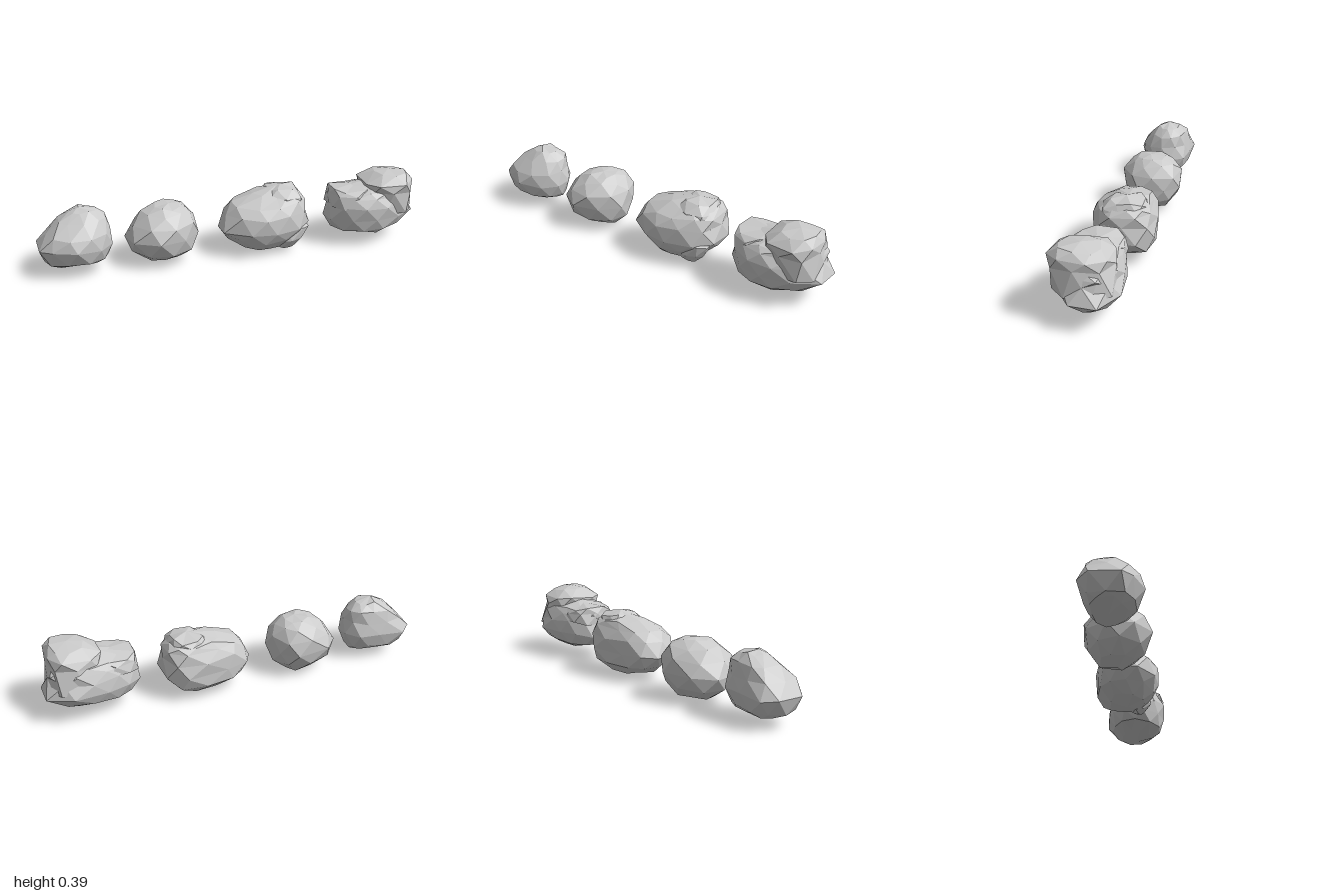
import * as THREE from 'three';

const material = new THREE.MeshStandardMaterial({ color: 0xcccccc, flatShading: true });

// Small seeded generator, -1..1
function seeded(seed) {
  let s = seed;
  return () => ((s = (s * 16807) % 2147483647) / 2147483647) * 2 - 1;
}

// Scale a plan outline to 0..1 in both directions
function normalise(pts) {
  const range = k => [Math.min(...pts.map(p => p[k])), Math.max(...pts.map(p => p[k]))];
  const [a, b] = range(0), [c, d] = range(1);
  return pts.map(p => [(p[0] - a) / (b - a), (p[1] - c) / (d - c)]);
}

// Faceted stone: plan outline fitted to layers [y, x0, x1, z0, z1], every second ring
// turned by half a step so the facets interlock
function stone(name, outline, layers, bottom, top, seed) {
  const n = outline.length, rand = seeded(seed), pos = [];
  const even = normalise(outline);
  const odd = normalise(outline.map((p, i) => {
    const q = outline[(i + 1) % n];
    return [(p[0] + q[0]) / 2, (p[1] + q[1]) / 2];
  }));
  const rings = layers.map(([y, x0, x1, z0, z1], j) => (j % 2 ? odd : even).map(([u, v]) => {
    const k = 1 + 0.015 * rand();
    return [
      (x0 + x1) / 2 + (u - 0.5) * (x1 - x0) * k,
      y + 0.009 * rand(),
      (z0 + z1) / 2 + (v - 0.5) * (z1 - z0) * k,
    ];
  }));
  const tri = (a, b, c) => pos.push(...a, ...b, ...c);
  const last = rings[rings.length - 1];
  for (let i = 0; i < n; i++) {
    const k = (i + 1) % n;
    for (let j = 0; j < rings.length - 1; j++) {
      const lo = rings[j], up = rings[j + 1];
      if (j % 2 === 0) {
        tri(lo[i], up[i], lo[k]);
        tri(lo[k], up[i], up[k]);
      } else {
        tri(lo[i], up[i], up[k]);
        tri(lo[i], up[k], lo[k]);
      }
    }
    tri(bottom, rings[0][i], rings[0][k]);
    tri(top, last[k], last[i]);
  }
  const geometry = new THREE.BufferGeometry();
  geometry.setAttribute('position', new THREE.Float32BufferAttribute(pos, 3));
  geometry.computeVertexNormals();
  const mesh = new THREE.Mesh(geometry, material);
  mesh.name = name;
  return mesh;
}

function rock(name, ...parts) {
  const g = new THREE.Group();
  g.name = name;
  g.add(...parts);
  return g;
}

export function createModel() {
  const model = new THREE.Group();
  model.name = 'rocks';
  const slab = [[0, 0.2], [0.25, 0], [0.8, 0], [1, 0.3], [1, 0.75], [0.75, 1], [0.2, 0.95], [0, 0.7]];

  // Small pointed rock
  model.add(rock('pointedRock', stone('pointedBody',
    [[-1, -0.06], [-0.94, -0.115], [-0.8, -0.115], [-0.69, -0.1], [-0.635, -0.03],
      [-0.635, 0.05], [-0.7, 0.12], [-0.82, 0.165], [-0.94, 0.125], [-1, 0.08]],
    [[0.06, -0.94, -0.67, -0.07, 0.09], [0.08, -0.97, -0.65, -0.1, 0.125],
      [0.15, -1, -0.635, -0.12, 0.165], [0.22, -0.955, -0.64, -0.11, 0.145],
      [0.28, -0.89, -0.66, -0.095, 0.1], [0.322, -0.83, -0.7, -0.06, 0.05]],
    [-0.79, 0.05, 0], [-0.79, 0.338, 0], 11)));

  // Small round rock
  model.add(rock('roundRock', stone('roundBody',
    [[-0.56, -0.04], [-0.475, -0.14], [-0.3, -0.17], [-0.225, -0.1],
      [-0.195, 0.03], [-0.28, 0.12], [-0.41, 0.165], [-0.53, 0.09]],
    [[0.03, -0.46, -0.26, -0.09, 0.08], [0.08, -0.535, -0.21, -0.14, 0.13],
      [0.15, -0.565, -0.193, -0.17, 0.17], [0.22, -0.525, -0.2, -0.165, 0.15],
      [0.275, -0.475, -0.235, -0.13, 0.11], [0.3, -0.41, -0.28, -0.08, 0.07]],
    [-0.355, 0, 0], [-0.34, 0.31, 0], 23)));

  // Long rock, highest towards the back, with a low step on top and a spur at the front
  model.add(rock('longRock',
    stone('longBody',
      [[-0.075, -0.03], [-0.03, -0.11], [0.085, -0.15], [0.305, -0.18], [0.4, -0.11],
        [0.405, 0.04], [0.325, 0.12], [0.19, 0.165], [0.06, 0.155], [-0.065, 0.07]],
      [[0.035, 0.05, 0.29, -0.1, 0.09], [0.085, -0.03, 0.375, -0.165, 0.14],
        [0.145, -0.075, 0.405, -0.18, 0.165], [0.22, -0.045, 0.4, -0.175, 0.165],
        [0.27, 0, 0.385, -0.16, 0.13], [0.305, 0.11, 0.365, -0.14, 0.07]],
      [0.17, 0.012, 0], [0.26, 0.343, -0.04], 37),
    stone('longTopSlab', slab,
      [[0.22, 0.16, 0.38, -0.15, 0.09], [0.29, 0.16, 0.375, -0.14, 0.09],
        [0.325, 0.2, 0.345, -0.12, 0.04]],
      [0.28, 0.2, 0], [0.265, 0.345, -0.03], 41),
    stone('longSpur', slab,
      [[0.03, 0.22, 0.31, 0.02, 0.08], [0.08, 0.22, 0.36, 0.0, 0.115],
        [0.14, 0.24, 0.39, -0.02, 0.11]],
      [0.265, 0.01, 0.05], [0.32, 0.17, 0.05], 43)));

  // Split rock with a tall slab, a lower slab and a narrow crack between them
  model.add(rock('splitRock',
    stone('splitBody',
      [[0.515, -0.05], [0.59, -0.12], [0.7, -0.155], [0.87, -0.175], [0.995, -0.1],
        [0.995, 0.03], [0.88, 0.12], [0.74, 0.165], [0.62, 0.135], [0.52, 0.055]],
      [[0.065, 0.66, 0.9, -0.09, 0.09], [0.095, 0.54, 0.95, -0.14, 0.14],
        [0.15, 0.515, 1, -0.175, 0.165], [0.22, 0.525, 0.975, -0.165, 0.17],
        [0.265, 0.535, 0.965, -0.155, 0.155], [0.295, 0.59, 0.95, -0.135, 0.13]],
      [0.795, 0.045, 0], [0.77, 0.34, 0], 53),
    stone('splitUpperSlab', slab,
      [[0.17, 0.75, 0.975, -0.15, 0.13], [0.29, 0.71, 0.97, -0.145, 0.155],
        [0.335, 0.71, 0.965, -0.125, 0.155], [0.372, 0.78, 0.945, -0.085, 0.11]],
      [0.85, 0.15, 0], [0.86, 0.388, 0.01], 59),
    stone('splitLowerSlab', slab,
      [[0.22, 0.53, 0.76, -0.13, 0.13], [0.275, 0.53, 0.76, -0.13, 0.13],
        [0.3, 0.545, 0.75, -0.11, 0.1]],
      [0.63, 0.2, 0], [0.69, 0.318, -0.01], 61)));

  return model;
}
